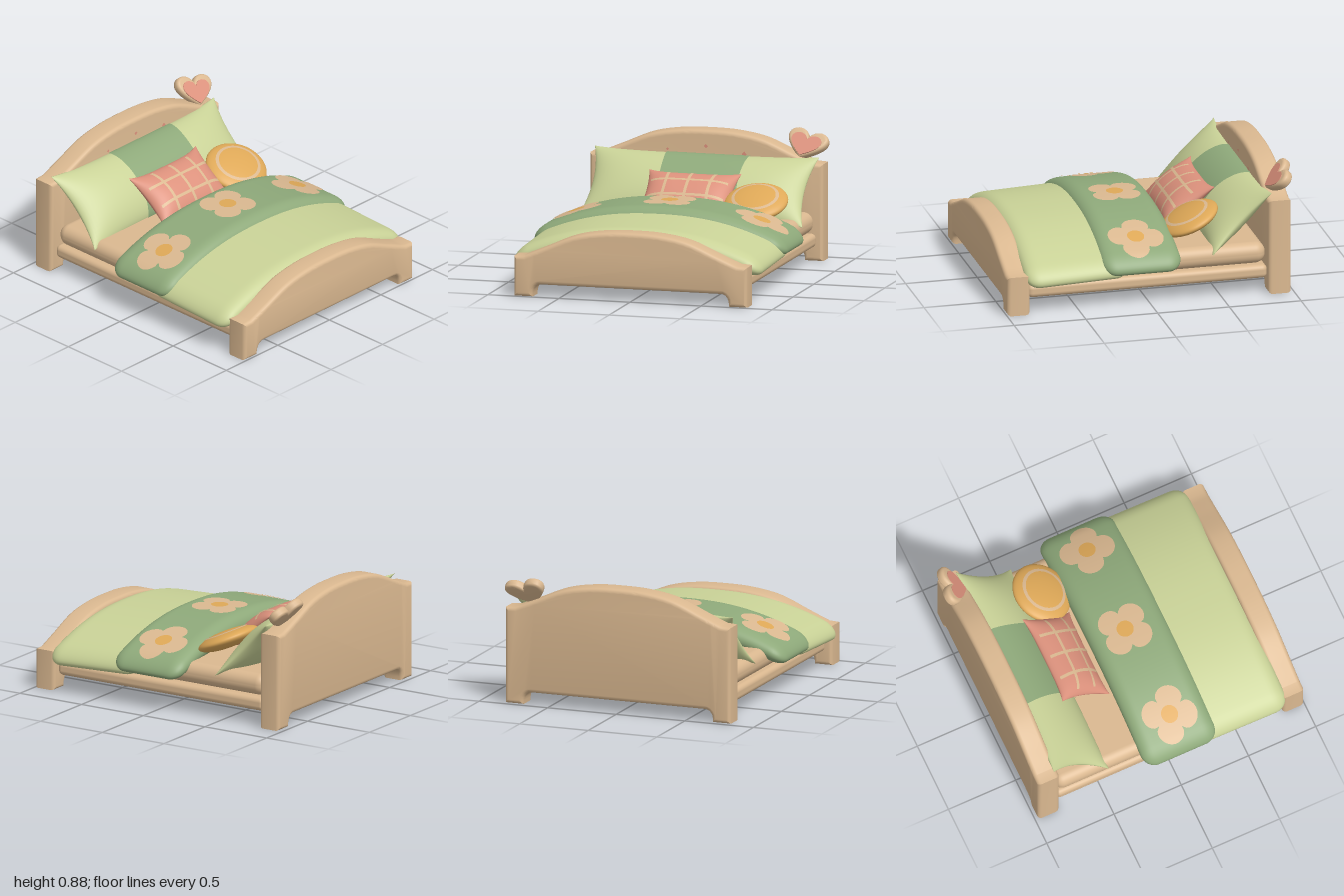
import * as THREE from 'three';
import { mergeGeometries, mergeVertices, toCreasedNormals } from 'three/addons/utils/BufferGeometryUtils.js';
import { RoundedBoxGeometry } from 'three/addons/geometries/RoundedBoxGeometry.js';

const paint = (name, color) => Object.assign(new THREE.MeshStandardMaterial({ color }), { name });
const { lerp, clamp } = THREE.MathUtils;

// Surface from a rule fn(u, v) -> [x, y, z]; faces dv x du
function grid(fn, nu, nv, flip = false) {
  const pos = [], idx = [];
  for (let i = 0; i <= nu; i++) for (let j = 0; j <= nv; j++) pos.push(...fn(i / nu, j / nv));
  for (let i = 0; i < nu; i++) for (let j = 0; j < nv; j++) {
    const a = i * (nv + 1) + j, b = a + 1, c = a + nv + 1, d = c + 1;
    idx.push(...(flip ? [a, c, b, b, c, d] : [a, b, c, b, d, c]));
  }
  const g = new THREE.BufferGeometry();
  g.setAttribute('position', new THREE.Float32BufferAttribute(pos, 3));
  g.setIndex(idx);
  g.computeVertexNormals();
  return g;
}

// Cushion with pointed corners; the range picks a strip of it
function pillowGeometry({ a, b, t, pinch }, [u0, u1, v0, v1] = [-1, 1, -1, 1], sides = [1, -1]) {
  const spread = (lo, hi, k) => Math.sin(lerp(Math.asin(lo), Math.asin(hi), k));
  const parts = sides.map(side => grid((p, q) => {
    const u = spread(u0, u1, p), v = spread(v0, v1, q);
    const f = Math.pow(Math.max(0, (1 - u * u) * (1 - v ** 4)), 0.6);
    return [a * u * (1 - pinch * (1 - v ** 4)), side * t * f, b * v * (1 - 0.6 * pinch * (1 - u * u))];
  }, 24, 36, side < 0));
  const g = mergeGeometries(parts);
  g.deleteAttribute('normal');
  const m = mergeVertices(g, 1e-4);
  m.computeVertexNormals();
  return m;
}

// Top of a draped cover
const coverTop = (c, x, z) => c.top - c.slope * (x - c.x0) - c.drop * Math.pow(Math.abs(z) / c.hz, 2.3);

// Soft slab with rounded rims, bent over the mattress
function coverGeometry(c) {
  const H = 0.09, r = 0.1, hx = (c.x1 - c.x0) / 2, cx = (c.x0 + c.x1) / 2;
  const g = new THREE.BoxGeometry(hx * 2, H * 2, c.hz * 2, 28, 10, 80);
  const p = g.attributes.position, d = new THREE.Vector3();
  for (let i = 0; i < p.count; i++) {
    const x = p.getX(i), y = p.getY(i), z = p.getZ(i);
    const ix = clamp(x, r - hx, hx - r), iz = clamp(z, r - c.hz, c.hz - r);
    d.set((x - ix) / r, y / H, (z - iz) / r).normalize();
    const X = cx + ix + d.x * r, Y = d.y * H, Z = iz + d.z * r;
    const thick = 0.18 - 0.06 * (Z / c.hz) ** 2;
    p.setXYZ(i, X, coverTop(c, X, Z) + (Y - H) * thick / (2 * H), Z);
  }
  g.deleteAttribute('normal');
  g.deleteAttribute('uv');
  const m = mergeVertices(g, 1e-4);
  m.computeVertexNormals();
  return m;
}

// End board: arched top, two short feet
function boardGeometry(shoulder, depth) {
  const s = new THREE.Shape();
  s.moveTo(-0.82, 0);
  s.lineTo(-0.82, shoulder);
  s.lineTo(-0.75, shoulder + 0.005);
  const rise = [[-0.7, 0.025], [-0.6, 0.067], [-0.4, 0.15], [-0.2, 0.187], [0, 0.195]];
  const arch = [...rise, ...rise.slice(0, 4).reverse().map(([x, y]) => [-x, y])];
  s.splineThru(arch.map(([x, y]) => new THREE.Vector2(x, shoulder + y)));
  s.lineTo(0.75, shoulder + 0.005);
  s.lineTo(0.82, shoulder);
  s.lineTo(0.82, 0);
  s.lineTo(0.69, 0);
  s.quadraticCurveTo(0.69, 0.085, 0.63, 0.085);
  s.lineTo(-0.63, 0.085);
  s.quadraticCurveTo(-0.69, 0.085, -0.69, 0);
  const bevel = 0.028;
  const g = new THREE.ExtrudeGeometry(s, {
    depth: depth - bevel * 2, bevelThickness: bevel, bevelSize: bevel, bevelOffset: -bevel, bevelSegments: 4, curveSegments: 6,
  });
  g.translate(0, 0, bevel - depth / 2).rotateY(Math.PI / 2);
  return toCreasedNormals(g, 0.6);
}

function heartGeometry(scale, depth, bevel) {
  const s = new THREE.Shape(), k = scale;
  s.moveTo(0, -0.1 * k);
  s.bezierCurveTo(-0.06 * k, -0.06 * k, -0.15 * k, 0, -0.14 * k, 0.06 * k);
  s.bezierCurveTo(-0.13 * k, 0.12 * k, -0.03 * k, 0.13 * k, 0, 0.06 * k);
  s.bezierCurveTo(0.03 * k, 0.13 * k, 0.13 * k, 0.12 * k, 0.14 * k, 0.06 * k);
  s.bezierCurveTo(0.15 * k, 0, 0.06 * k, -0.06 * k, 0, -0.1 * k);
  const g = new THREE.ExtrudeGeometry(s, {
    depth, bevelEnabled: bevel > 0, bevelThickness: bevel, bevelSize: bevel, bevelOffset: -bevel, bevelSegments: 4, curveSegments: 10,
  });
  return toCreasedNormals(g.rotateZ(-0.25).rotateY(Math.PI / 2), 0.7);
}

export function createModel() {
  const wood = paint('warm wood', 0xdab890);
  const lightGreen = paint('light green fabric', 0xc9d297);
  const green = paint('sage green fabric', 0x8ea97a);
  const pink = paint('coral pink', 0xdc917c);
  const orange = paint('golden orange', 0xdea857);
  const model = new THREE.Group();
  const add = (name, geo, mat, x = 0, y = 0, z = 0, parent = model) => {
    const m = new THREE.Mesh(geo, mat);
    m.name = name;
    m.position.set(x, y, z);
    parent.add(m);
    return m;
  };
  const holder = (name, x, y, z, tilt) => {
    const g = new THREE.Group();
    g.name = name;
    g.position.set(x, y, z);
    g.rotation.z = tilt;
    model.add(g);
    return g;
  };

  // Frame and mattress
  add('headboard', boardGeometry(0.665, 0.16), wood, -0.9);
  add('footboard', boardGeometry(0.275, 0.16), wood, 0.92);
  add('bedBase', new RoundedBoxGeometry(1.67, 0.095, 1.56, 4, 0.035), wood, 0.01, 0.1475);
  add('mattress', new RoundedBoxGeometry(1.66, 0.15, 1.54, 5, 0.07), wood, 0.01, 0.272);

  // Covers
  const quilt = { x0: 0.15, x1: 0.87, hz: 0.87, top: 0.495, slope: 0.04, drop: 0.185 };
  const blanket = { x0: -0.21, x1: 0.34, hz: 0.89, top: 0.53, slope: 0, drop: 0.2 };
  add('quilt', coverGeometry(quilt), lightGreen);
  add('foldedBlanket', coverGeometry(blanket), green);

  // Flowers laid on the blanket
  const drape = (cx, cz, radius, lift) => grid((u, v) => {
    const t = v * Math.PI * 2, r = u * radius(t);
    const x = cx + r * Math.cos(t), z = cz + r * Math.sin(t);
    const over = Math.max(0, Math.abs(z) - blanket.hz + 0.1) / 0.1;
    return [x, coverTop(blanket, x, z) - 0.06 * (1 - Math.sqrt(1 - over * over)) + lift, z];
  }, 10, 72);
  for (const [x, z, turn] of [[0.065, -0.655, 0.2], [0.045, 0, 0.8], [0.075, 0.65, 0.35]]) {
    add('flowerPetals', drape(x, z, t => 0.105 + 0.085 * Math.sqrt(Math.abs(Math.cos(2 * (t - turn)))), 0.005), wood);
    add('flowerCentre', drape(x, z, () => 0.058, 0.009), orange);
  }

  // Long pillow with a green band
  const long = { a: 0.29, b: 0.79, t: 0.12, pinch: 0.1 };
  const longPillow = holder('longPillow', -0.645, 0.505, 0, -Math.PI / 4);
  add('pillowBody', pillowGeometry(long), lightGreen, 0, 0, 0, longPillow);
  add('pillowBand', pillowGeometry(long, [-1, 1, -0.41, 0.34]), green, 0, 0, 0, longPillow).scale.set(1.02, 1.05, 1);

  // Checked pillow
  const small = { a: 0.22, b: 0.325, t: 0.085, pinch: 0.14 };
  const checked = holder('checkedPillow', -0.395, 0.49, 0, -0.64);
  add('pillowBody', pillowGeometry(small), pink, 0, 0, 0, checked);
  const stripes = [-0.36, 0.36].map(u => [u - 0.05, u + 0.05, -0.9, 0.9])
    .concat([-0.52, 0, 0.52].map(v => [-0.9, 0.9, v - 0.035, v + 0.035]));
  for (const range of stripes) {
    add('checkStripe', pillowGeometry(small, range, [1]), wood, 0, 0.002, 0, checked).scale.y = 1.05;
  }

  // Round cushion with a ring
  const round = holder('roundCushion', -0.35, 0.475, -0.49, -0.43);
  add('cushionBody', new THREE.SphereGeometry(1, 48, 32), orange, 0, 0, 0, round).scale.set(0.21, 0.06, 0.22);
  add('cushionRing', grid((u, v) => {
    const r = lerp(0.64, 0.74, u), t = v * Math.PI * 2;
    return [0.21 * r * Math.cos(t), 0.06 * Math.sqrt(1 - r * r) + 0.004, 0.22 * r * Math.sin(t)];
  }, 4, 64), wood, 0, 0, 0, round);

  // Heart on the headboard corner
  const heart = holder('heartOrnament', -0.915, 0.775, -0.675, 0.7);
  add('heartBody', heartGeometry(1.04, 0.02, 0.022), wood, -0.015, 0, 0, heart);
  add('heartFace', heartGeometry(0.78, 0.008, 0), pink, 0.022, -0.014, 0.004, heart);

  // Small diamonds on the headboard
  for (const [y, z, r] of [[0.72, 0.27, 0.011], [0.752, 0, 0.014], [0.71, -0.27, 0.018]]) {
    add('headboardDiamond', new THREE.CircleGeometry(r, 4).rotateY(Math.PI / 2), pink, -0.817, y, z);
  }
  return model;
}
